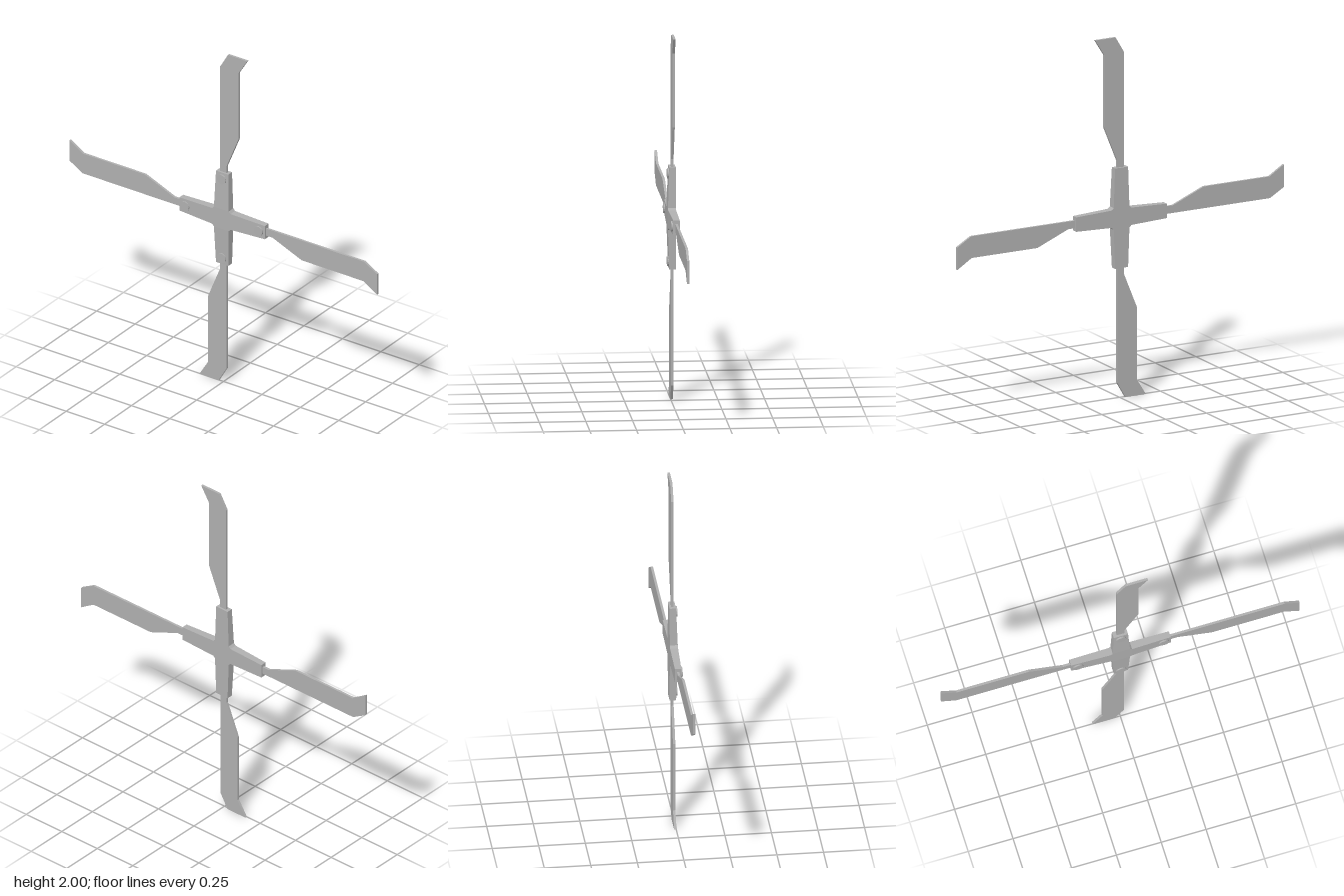
import * as THREE from 'three';

export function createModel() {
  const model = new THREE.Group();
  model.name = 'rotor';
  const metal = new THREE.MeshStandardMaterial({ color: 0xb0b0b0, flatShading: true });
  metal.name = 'grey metal';

  const add = (parent, geometry, name) => {
    const mesh = new THREE.Mesh(geometry, metal);
    mesh.name = name;
    parent.add(mesh);
    return mesh;
  };
  const plate = (points, z0, z1) => {
    const shape = new THREE.Shape(points.map(([x, y]) => new THREE.Vector2(x, y)));
    return new THREE.ExtrudeGeometry(shape, { depth: z1 - z0, bevelEnabled: false }).translate(0, 0, z0);
  };

  const back = -0.022, rootFront = 0.021, endFront = 0.013;
  const rootY = 0.06, endY = 0.278;

  // Tapered arm: narrower and thinner towards its outer end
  const armGeometry = () => {
    const g = new THREE.BoxGeometry(2, 1, 1);
    const p = g.attributes.position;
    for (let i = 0; i < p.count; i++) {
      const outer = p.getY(i) > 0;
      const x = p.getX(i) * (outer ? 0.04 : 0.048);
      const z = p.getZ(i) < 0 ? back : (outer ? endFront : rootFront);
      p.setXYZ(i, x, outer ? endY : rootY, z);
    }
    g.computeVertexNormals();
    return g;
  };

  // Cranked flat blade, widening from a narrow shank to a swept tip
  const bladeOutline = [
    [-0.02, 0.2], [0.022, 0.2], [0.022, 0.32], [0.1, 0.51],
    [0.1, 0.912], [0.155, 1], [0.03, 1], [-0.02, 0.915],
  ];

  // Central block with small chamfers between the arms
  const a = 0.048, b = rootY;
  const hub = add(model, plate([
    [a, b], [-a, b], [-b, a], [-b, -a], [-a, -b], [a, -b], [b, -a], [b, a],
  ], back, rootFront), 'hub');
  hub.position.y = 1;

  // Four identical arms, bolts and blades around the hub
  for (let i = 0; i < 4; i++) {
    const wing = new THREE.Group();
    wing.name = 'wing' + (i + 1);
    wing.position.y = 1;
    wing.rotation.z = -i * Math.PI / 2;
    add(wing, armGeometry(), 'arm');
    add(wing, plate(bladeOutline, -0.011, 0.002), 'blade');
    const bolt = add(wing, new THREE.CylinderGeometry(0.028, 0.028, 0.022, 16), 'bolt');
    bolt.rotation.x = Math.PI / 2;
    bolt.position.set(0, 0.239, 0.011);
    model.add(wing);
  }
  return model;
}
